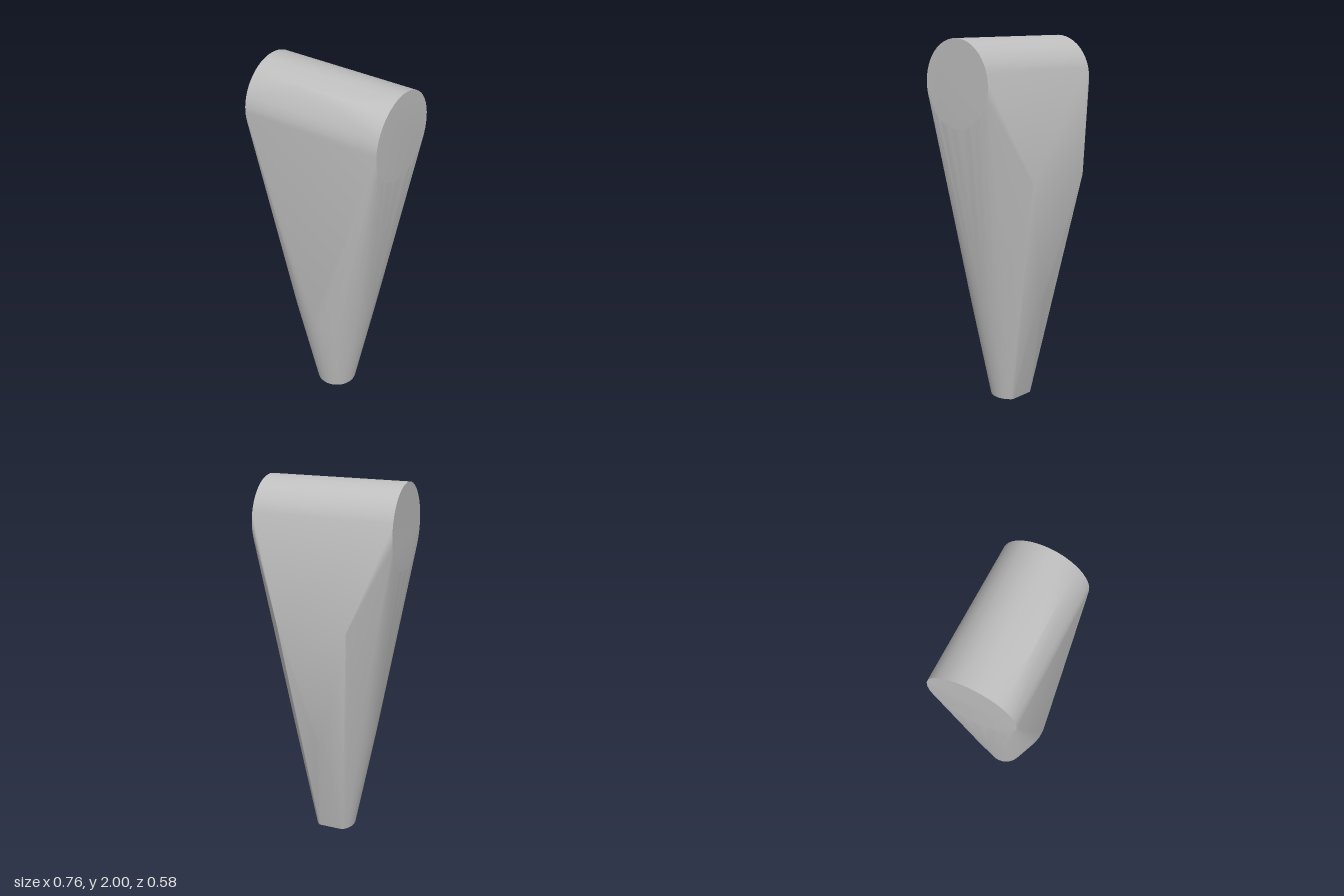
import * as THREE from 'three';
import { ConvexGeometry } from 'three/addons/geometries/ConvexGeometry.js';
import { toCreasedNormals } from 'three/addons/utils/BufferGeometryUtils.js';

const R = 0.2275;   // radius of the rounded top and of the shaft
const Z = 0.0625;   // common axis of the circles
const SEGMENTS = 48;

// Points of a circle, each placed by a rule from its cosine and sine
function ring(place) {
  return Array.from({ length: SEGMENTS }, (_, i) => {
    const a = (i / SEGMENTS) * Math.PI * 2;
    return place(Math.cos(a), Math.sin(a));
  });
}

export function createModel() {
  const group = new THREE.Group();
  group.name = 'taperedHead';
  const grey = new THREE.MeshStandardMaterial({ color: 0xbfbfbf });
  grey.name = 'grey';

  const points = [
    // widest circle of the lower shaft
    ...ring((c, s) => new THREE.Vector3(R * c, 0.595, Z + R * s)),
    // foot circle, cut flat at the back
    ...ring((c, s) => new THREE.Vector3(0.1125 * c, 0, Z + 0.1125 * s)).filter((p) => p.z > -0.02),
  ];
  for (const side of [-1, 1]) {
    // end disc of the rounded top
    points.push(...ring((c, s) => new THREE.Vector3(0.38 * side, 2 - R + R * s, Z + R * c)));
    // back corner of the foot, and end of the back ridge
    points.push(new THREE.Vector3(0.07 * side, 0, -0.025));
    points.push(new THREE.Vector3(0.19 * side, 1.29, -0.29));
    // slight swelling on the upper front
    points.push(new THREE.Vector3(0.12 * side, 1.925, 0.247));
    points.push(new THREE.Vector3(0.12 * side, 1.965, 0.218));
  }

  // One skin stretched over the sections, soft across gentle bends
  const body = new THREE.Mesh(toCreasedNormals(new ConvexGeometry(points), THREE.MathUtils.degToRad(30)), grey);
  body.name = 'body';
  group.add(body);
  return group;
}
